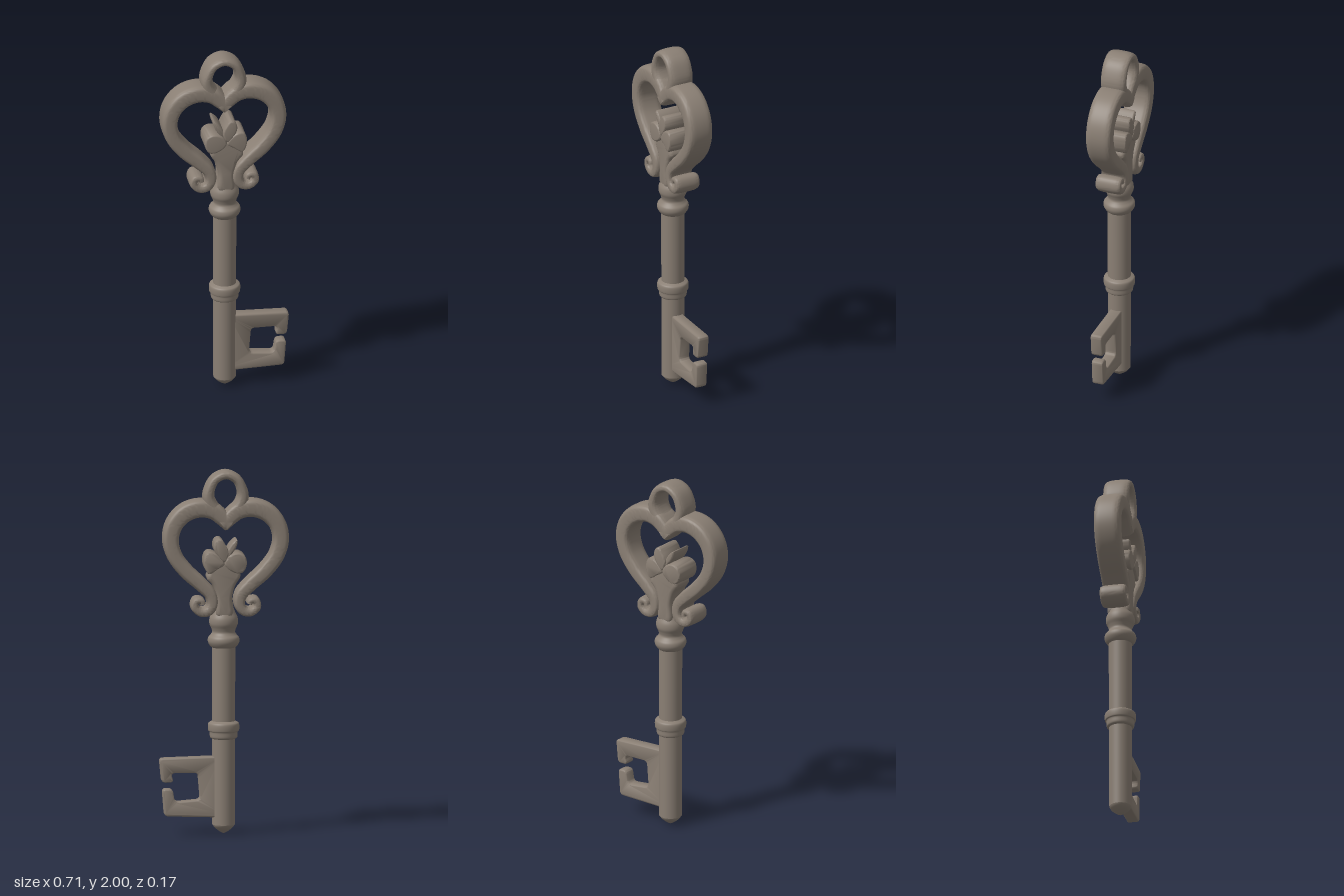
import * as THREE from 'three';
import { toCreasedNormals } from 'three/addons/utils/BufferGeometryUtils.js';

const metal = new THREE.MeshStandardMaterial({ color: 0x8a7f74 });
metal.name = 'agedMetal';

function part(name, geometry) {
  const mesh = new THREE.Mesh(geometry, metal);
  mesh.name = name;
  return mesh;
}

// Sweeps a rounded section along a path in the xy plane; each point is [x, y, half width]
function ribbon(points, depth, power, steps) {
  const curve = new THREE.CatmullRomCurve3(points.map(p => new THREE.Vector3(...p)), false, 'centripetal');
  const K = 36, pos = [], idx = [];
  const round = v => Math.sign(v) * Math.pow(Math.abs(v), 2 / power);
  for (let i = 0; i <= steps; i++) {
    const p = curve.getPoint(i / steps);
    const t = curve.getTangent(i / steps);
    const len = Math.hypot(t.x, t.y);
    const nx = t.y / len, ny = -t.x / len;
    for (let j = 0; j < K; j++) {
      const a = (j / K) * Math.PI * 2;
      const w = round(Math.cos(a)) * p.z;
      pos.push(p.x + nx * w, p.y + ny * w, round(Math.sin(a)) * depth);
    }
  }
  for (let i = 0; i < steps; i++) {
    for (let j = 0; j < K; j++) {
      const k = (j + 1) % K;
      const a = i * K + j, b = a + K, c = i * K + k, d = c + K;
      idx.push(a, b, c, b, d, c);
    }
  }
  // End caps
  const first = points[0], last = points[points.length - 1];
  const c0 = pos.length / 3, c1 = c0 + 1, end = steps * K;
  pos.push(first[0], first[1], 0, last[0], last[1], 0);
  for (let j = 0; j < K; j++) {
    const k = (j + 1) % K;
    idx.push(c0, j, k, c1, end + k, end + j);
  }
  const g = new THREE.BufferGeometry();
  g.setAttribute('position', new THREE.Float32BufferAttribute(pos, 3));
  g.setIndex(idx);
  return toCreasedNormals(g, 1.0);
}

// Bevelled plate of a given half depth, centred on z = 0
function plate(shape, half, bevel) {
  const g = new THREE.ExtrudeGeometry(shape, {
    depth: 2 * (half - bevel), bevelEnabled: true, bevelThickness: bevel,
    bevelSize: bevel, bevelOffset: -bevel, bevelSegments: 3, curveSegments: 8,
  });
  g.translate(0, 0, bevel - half);
  return toCreasedNormals(g, 0.8);
}

const vec = pts => pts.map(p => new THREE.Vector2(...p));

// Closed smooth outline through a few points
function blob(pts) {
  const c = new THREE.CatmullRomCurve3(pts.map(p => new THREE.Vector3(p[0], p[1], 0)), true, 'centripetal');
  return new THREE.Shape(c.getPoints(pts.length * 5).slice(0, -1).map(p => new THREE.Vector2(p.x, p.y)));
}

// Polygon with rounded corners
function roundedPolygon(pts, r) {
  const P = vec(pts), s = new THREE.Shape();
  P.forEach((p, i) => {
    const a = P[(i + P.length - 1) % P.length], b = P[(i + 1) % P.length];
    const inPt = p.clone().lerp(a, Math.min(0.45, r / p.distanceTo(a)));
    const outPt = p.clone().lerp(b, Math.min(0.45, r / p.distanceTo(b)));
    if (i) s.lineTo(inPt.x, inPt.y); else s.moveTo(inPt.x, inPt.y);
    s.quadraticCurveTo(p.x, p.y, outPt.x, outPt.y);
  });
  s.closePath();
  return s;
}

// Smooth turned part through [radius, y] points
function turned(pts) {
  const c = new THREE.SplineCurve(vec(pts));
  return new THREE.LatheGeometry(c.getPoints(pts.length * 5).map(p => p.set(Math.max(p.x, 0), p.y)), 40);
}

export function createModel() {
  const key = new THREE.Group();
  key.name = 'key';

  // Shaft, pointed tip and collars
  key.add(part('shaft', new THREE.CylinderGeometry(0.064, 0.062, 1.0, 40, 1, true).translate(0, 0.55, 0)));
  key.add(part('tip', turned([[0, 0], [0.022, 0.012], [0.048, 0.032], [0.06, 0.052], [0.062, 0.08]])));
  key.add(part('lowerCollar', turned([[0.058, 0.52], [0.074, 0.53], [0.077, 0.56], [0.084, 0.567],
    [0.086, 0.59], [0.083, 0.607], [0.072, 0.615], [0.058, 0.622]])));
  key.add(part('upperCollar', turned([[0.058, 1.02], [0.074, 1.032], [0.086, 1.055], [0.084, 1.078],
    [0.07, 1.095], [0.063, 1.11], [0.068, 1.13], [0.078, 1.155], [0.077, 1.185],
    [0.064, 1.215], [0.055, 1.24], [0.05, 1.27], [0.045, 1.32]])));

  // Bit with its notched C shape
  key.add(part('bit', plate(roundedPolygon([
    [0, 0.09], [0.325, 0.1], [0.337, 0.25], [0.28, 0.25], [0.268, 0.178], [0.13, 0.19],
    [0.142, 0.337], [0.288, 0.337], [0.275, 0.285], [0.34, 0.285], [0.353, 0.418], [0, 0.428],
  ], 0.022), 0.033, 0.01)));

  // Heart halves, each ending in a scroll
  const half = [
    [-0.02, 1.70, 0.04], [0.02, 1.738, 0.043], [0.07, 1.777, 0.047], [0.14, 1.792, 0.05],
    [0.22, 1.768, 0.05], [0.28, 1.705, 0.047], [0.301, 1.62, 0.044], [0.278, 1.53, 0.042],
    [0.215, 1.445, 0.041], [0.135, 1.372, 0.038], [0.083, 1.315, 0.034], [0.075, 1.262, 0.03],
    [0.098, 1.227, 0.027], [0.138, 1.222, 0.024], [0.17, 1.25, 0.022], [0.162, 1.284, 0.02],
    [0.134, 1.283, 0.018], [0.127, 1.266, 0.016],
  ];
  const heart = new THREE.Group();
  heart.name = 'heart';
  heart.position.x = -0.01;
  for (const [name, s] of [['leftHeartHalf', 1], ['rightHeartHalf', -1]]) {
    heart.add(part(name, ribbon(half.map(([x, y, w]) => [s * x, y, w]), 0.073, 4, 140)));
  }
  key.add(heart);

  // Hanging loop
  const side = [[0.025, 1.755, 0.035], [0.07, 1.795, 0.037], [0.093, 1.85, 0.033],
    [0.088, 1.895, 0.029], [0.058, 1.95, 0.026]];
  const loop = part('hangingLoop', ribbon([
    ...side.map(([x, y, w]) => [-x, y, w]), [0, 1.975, 0.025], ...side.slice().reverse(),
  ], 0.072, 2.8, 80));
  loop.position.x = -0.01;
  key.add(loop);

  // Flaring stem and leaf cluster
  key.add(part('stem', plate(blob([
    [-0.04, 1.2], [0.04, 1.2], [0.042, 1.3], [0.065, 1.37], [0.095, 1.41], [0.075, 1.46],
    [0.05, 1.53], [-0.04, 1.53], [-0.075, 1.46], [-0.088, 1.42], [-0.06, 1.37], [-0.042, 1.3],
  ]), 0.066, 0.02)));
  const leaves = {
    rightLeaf: [[0.0, 1.49], [-0.025, 1.535], [-0.075, 1.55], [-0.113, 1.53], [-0.12, 1.48], [-0.095, 1.44], [-0.045, 1.445]],
    leftLeaf: [[0.0, 1.49], [0.045, 1.545], [0.09, 1.552], [0.11, 1.52], [0.108, 1.47], [0.085, 1.435], [0.04, 1.46]],
    topLeaf: [[0.0, 1.5], [-0.022, 1.55], [-0.005, 1.595], [0.02, 1.625], [0.045, 1.618], [0.058, 1.58], [0.04, 1.535]],
    smallLeaf: [[-0.01, 1.52], [-0.045, 1.55], [-0.068, 1.59], [-0.07, 1.62], [-0.045, 1.605], [-0.018, 1.565]],
  };
  for (const [name, pts] of Object.entries(leaves)) {
    key.add(part(name, plate(blob(pts), name === 'smallLeaf' ? 0.07 : 0.08, 0.01)));
  }
  return key;
}
